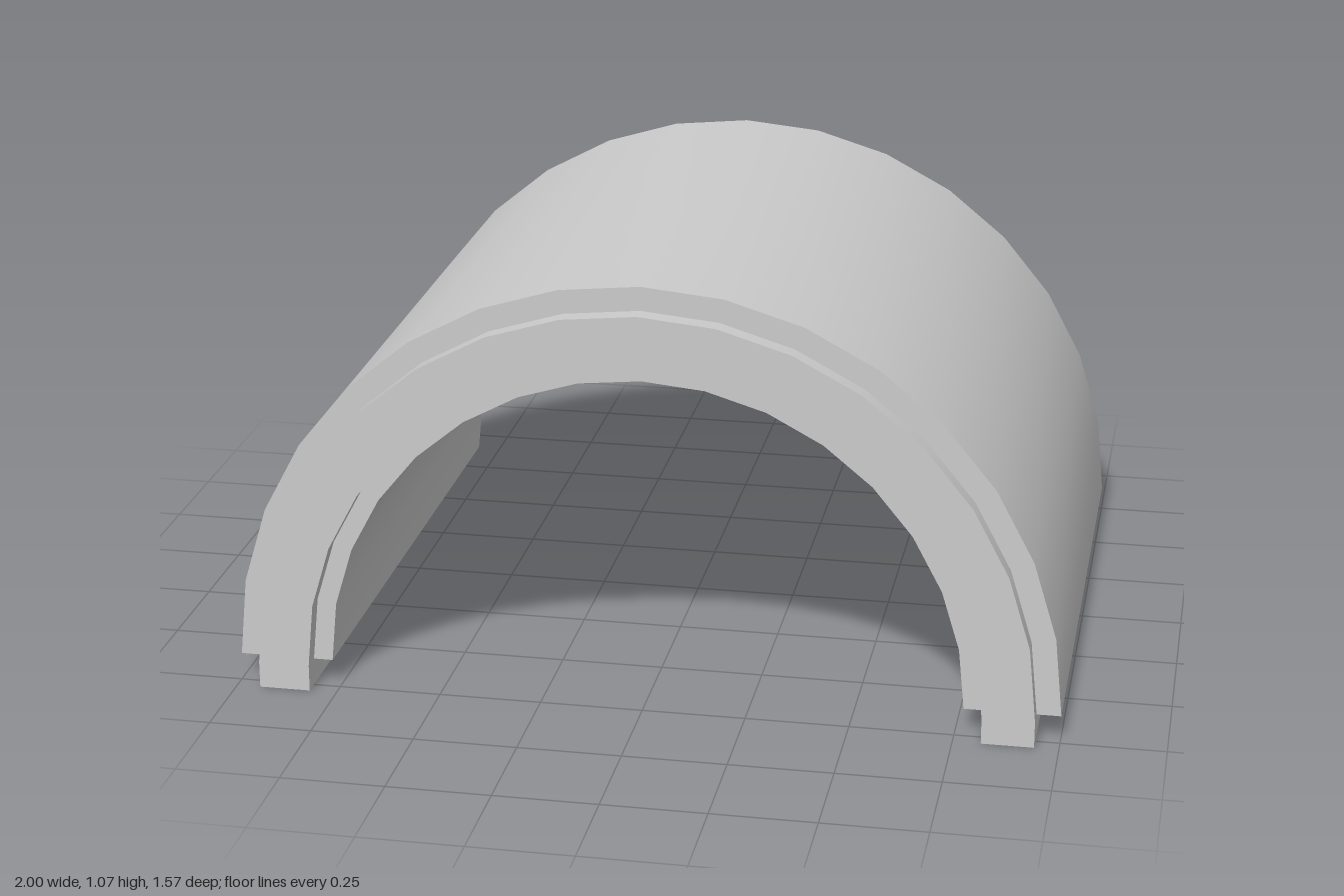
import * as THREE from 'three';
import { toCreasedNormals } from 'three/addons/utils/BufferGeometryUtils.js';

const SPRING = 0.065; // height of the arch centre
const SEGMENTS = 16;

// Half-ring section with optional straight legs, extruded along z
function archGeometry(outer, inner, length, leg) {
  const points = [];
  const addArc = (r, from, to) => {
    for (let i = 0; i <= SEGMENTS; i++) {
      const a = from + ((to - from) * i) / SEGMENTS;
      points.push(new THREE.Vector2(r * Math.cos(a), SPRING + r * Math.sin(a)));
    }
  };
  if (leg) points.push(new THREE.Vector2(outer, SPRING - leg));
  addArc(outer, 0, Math.PI);
  if (leg) points.push(new THREE.Vector2(-outer, SPRING - leg), new THREE.Vector2(-inner, SPRING - leg));
  addArc(inner, Math.PI, 0);
  if (leg) points.push(new THREE.Vector2(inner, SPRING - leg));

  const geometry = new THREE.ExtrudeGeometry(new THREE.Shape(points), { depth: length, bevelEnabled: false });
  geometry.translate(0, 0, -length / 2);
  return toCreasedNormals(geometry, 0.6);
}

export function createModel() {
  const group = new THREE.Group();
  group.name = 'archedShell';
  const material = new THREE.MeshStandardMaterial({ color: 0xcccccc });
  const add = (name, geometry) => {
    const mesh = new THREE.Mesh(geometry, material);
    mesh.name = name;
    group.add(mesh);
  };

  // Thick half-pipe body
  add('archBody', archGeometry(1, 0.77, 1.48, 0));
  // Thinner core forming the tongue at both ends and along the bottom edges
  add('tongueCore', archGeometry(0.942, 0.817, 1.57, SPRING));
  return group;
}
